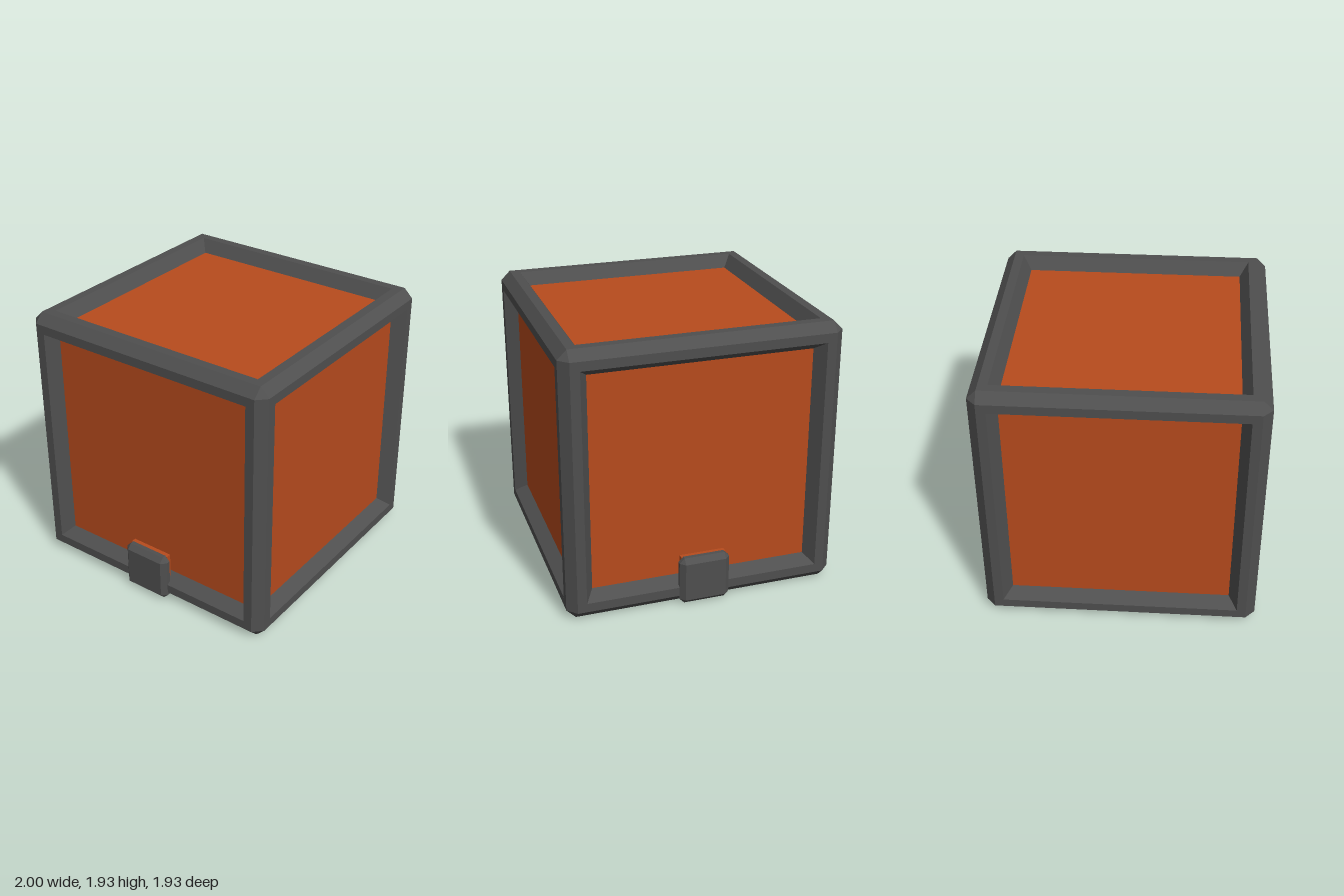
import * as THREE from 'three';
import { ConvexGeometry } from 'three/addons/geometries/ConvexGeometry.js';

const H = 0.965;   // half size of the cube
const F = 0.9;     // flat face edge, where the corner chamfer starts
const O = 0.835;   // outer edge of the recess
const P = 0.775;   // edge of the sunken panel
const D = 0.09;    // recess depth

const SIGNS = [-1, 1];

// Flat-sided geometry from convex polygons, each turned to face its out direction
function facesGeometry(faces) {
  const positions = [];
  for (const { points, out } of faces) {
    const [a, b, c] = points;
    const n = b.clone().sub(a).cross(c.clone().sub(a));
    const p = n.dot(out) < 0 ? [...points].reverse() : points;
    for (let i = 1; i < p.length - 1; i++) {
      for (const v of [p[0], p[i], p[i + 1]]) positions.push(v.x, v.y, v.z);
    }
  }
  const g = new THREE.BufferGeometry();
  g.setAttribute('position', new THREE.Float32BufferAttribute(positions, 3));
  g.computeVertexNormals();
  return g;
}

// Point from a main axis and its two neighbours
function point(axis, main, u, v) {
  const c = [0, 0, 0];
  c[axis] = main;
  c[(axis + 1) % 3] = u;
  c[(axis + 2) % 3] = v;
  return new THREE.Vector3(...c);
}

// Pad with cut corners: straight from a to b, then chamfered by k up to c
function chamferedPad(axis, a, b, c, u, v, k) {
  const pts = [];
  for (const su of SIGNS) for (const sv of SIGNS) {
    for (const m of [a, b]) {
      pts.push(point(axis, m, su * u, sv * (v - k)), point(axis, m, su * (u - k), sv * v));
    }
    pts.push(point(axis, c, su * (u - k), sv * (v - k)));
  }
  return new ConvexGeometry(pts);
}

export function createModel() {
  const grey = new THREE.MeshStandardMaterial({ color: 0x4f4f4f });
  grey.name = 'dark grey';
  const orange = new THREE.MeshStandardMaterial({ color: 0xb74b1d });
  orange.name = 'rust orange';

  const model = new THREE.Group();
  model.name = 'crate';
  const add = (name, geometry, material, parent = model) => {
    const mesh = new THREE.Mesh(geometry, material);
    mesh.name = name;
    parent.add(mesh);
    return mesh;
  };

  // Cube centred on its own origin, raised to stand on the ground
  const cube = new THREE.Group();
  cube.name = 'cube';
  cube.position.y = H;
  model.add(cube);

  const frame = [];
  const panels = [];
  const corners = [[-1, -1], [1, -1], [1, 1], [-1, 1]];
  for (let axis = 0; axis < 3; axis++) {
    for (const s of SIGNS) {
      const out = point(axis, s, 0, 0);
      const square = (m, r) => corners.map(([u, v]) => point(axis, s * m, u * r, v * r));
      const loops = [square(H, F), square(H, O), square(H - D, P)];
      // Flat border, then the sloping recess walls
      for (let l = 0; l < 2; l++) {
        for (let i = 0; i < 4; i++) {
          const j = (i + 1) % 4;
          frame.push({ points: [loops[l][i], loops[l][j], loops[l + 1][j], loops[l + 1][i]], out });
        }
      }
      panels.push({ points: loops[2], out });
      // Chamfered edges along this axis
      for (const t of SIGNS) {
        frame.push({
          points: [
            point(axis, -F, s * H, t * F), point(axis, F, s * H, t * F),
            point(axis, F, s * F, t * H), point(axis, -F, s * F, t * H),
          ],
          out: point(axis, 0, s, t),
        });
      }
    }
  }
  // Corner triangles
  for (const x of SIGNS) for (const y of SIGNS) for (const z of SIGNS) {
    frame.push({
      points: [
        new THREE.Vector3(x * H, y * F, z * F),
        new THREE.Vector3(x * F, y * H, z * F),
        new THREE.Vector3(x * F, y * F, z * H),
      ],
      out: new THREE.Vector3(x, y, z),
    });
  }
  add('frame', facesGeometry(frame), grey, cube);
  add('panels', facesGeometry(panels), orange, cube);

  // Side clips with an orange backing in the recess
  for (const s of SIGNS) {
    const side = s > 0 ? 'left' : 'right';
    const clip = add(`${side}Clip`, chamferedPad(0, s * 0.937, s * 0.965, s, 0.175, 0.18, 0.035), grey);
    clip.position.y = 0.18;
    const backing = add(`${side}ClipBacking`, new THREE.BoxGeometry(0.035, 0.25, 0.32), orange);
    backing.position.set(s * 0.92, 0.225, 0);
  }

  // Strap across the underside, the base plate over it and the patch on the plate
  const strap = add('strap', new THREE.BoxGeometry(1.76, 0.09, 0.32), orange);
  strap.position.y = 0.052;
  add('basePlate', chamferedPad(1, 0.1, 0.04, 0.004, 0.35, 0.66, 0.035), grey);
  const patch = add('basePlatePatch', new THREE.BoxGeometry(0.62, 0.004, 0.26), orange);
  patch.position.set(-0.03, 0.003, -0.15);

  return model;
}
